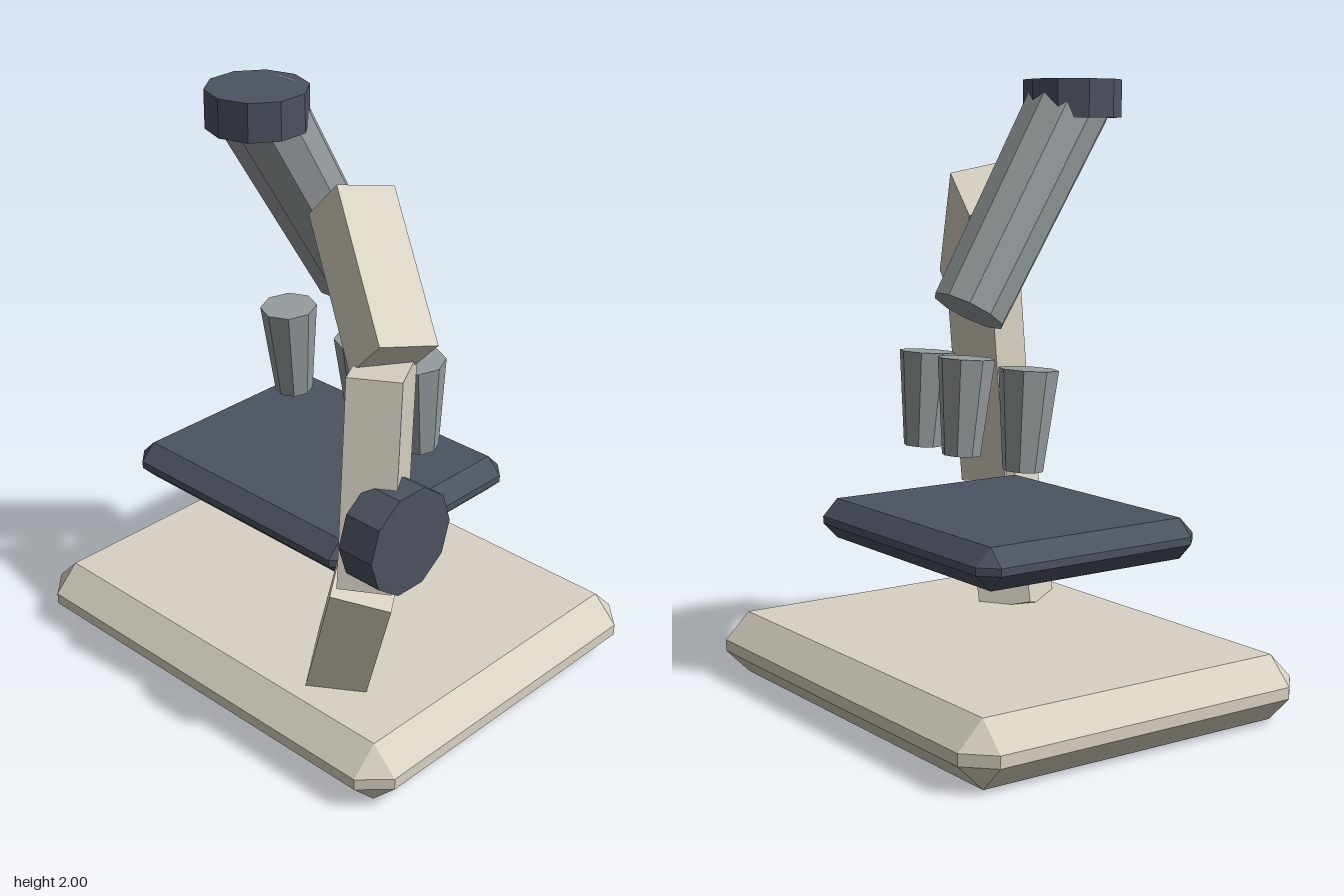
import * as THREE from 'three';
import { ConvexGeometry } from 'three/addons/geometries/ConvexGeometry.js';

const V = (x, y, z) => new THREE.Vector3(x, y, z);

function material(name, color) {
  const m = new THREE.MeshStandardMaterial({ color, flatShading: true });
  m.name = name;
  return m;
}

// Box whose edges and corners are cut by a single flat bevel
function bevelledSlab(w, h, d, r) {
  const points = [];
  for (const sx of [-1, 1]) for (const sy of [-1, 1]) for (const sz of [-1, 1]) {
    const x = w / 2, y = h / 2, z = d / 2;
    points.push(
      V(sx * x, sy * (y - r), sz * (z - r)),
      V(sx * (x - r), sy * y, sz * (z - r)),
      V(sx * (x - r), sy * (y - r), sz * z));
  }
  return new ConvexGeometry(points);
}

export function createModel() {
  const group = new THREE.Group();
  group.name = 'microscope';
  const cream = material('cream', 0xd8d2c2);
  const slate = material('slate', 0x4c5260);
  const metal = material('metal', 0x979d9f);

  const add = (name, geometry, mat, position) => {
    const mesh = new THREE.Mesh(geometry, mat);
    mesh.name = name;
    mesh.position.copy(position);
    group.add(mesh);
    return mesh;
  };

  // Square beam between two points; "side" fixes its twist
  const beam = (name, from, to, side, width, depth) => {
    const y = to.clone().sub(from);
    const length = y.length();
    y.normalize();
    const x = side.clone().addScaledVector(y, -side.dot(y)).normalize();
    const z = x.clone().cross(y);
    const mesh = add(name, new THREE.BoxGeometry(width, length, depth), cream,
      from.clone().add(to).multiplyScalar(0.5));
    mesh.quaternion.setFromRotationMatrix(new THREE.Matrix4().makeBasis(x, y, z));
  };

  // Tapered round part between two points
  const taper = (name, from, to, rBottom, rTop, sides, start = 0) => {
    const axis = to.clone().sub(from);
    const mesh = add(name,
      new THREE.CylinderGeometry(rTop, rBottom, axis.length(), sides, 1, false, start),
      metal, from.clone().add(to).multiplyScalar(0.5));
    mesh.quaternion.setFromUnitVectors(V(0, 1, 0), axis.normalize());
  };

  // Foot and stage
  add('base', bevelledSlab(1.58, 0.21, 1.27, 0.086), cream, V(0, 0.105, 0));
  add('stage', bevelledSlab(0.98, 0.13, 0.82, 0.053), slate, V(-0.11, 0.585, -0.055));

  // Three-part bent arm
  beam('lowerArm', V(0.346, 0.173, 0.327), V(0.503, 0.638, 0.368), V(0.146, -0.043, -0.11), 0.188, 0.253);
  beam('middleArm', V(0.511, 0.635, 0.357), V(0.461, 1.287, 0.268), V(0.84, 0, -0.54), 0.165, 0.267);
  beam('upperArm', V(0.485, 1.307, 0.245), V(0.14, 1.653, 0.061), V(-0.06, 0.04, 0.188), 0.2, 0.185);

  // Focus knob
  const knob = add('focusKnob', new THREE.CylinderGeometry(0.171, 0.171, 0.13, 10), slate, V(0.605, 0.82, 0.362));
  knob.rotation.z = Math.PI / 2;

  // Viewing tube and eyepiece
  taper('viewingTube', V(-0.08, 1.281, -0.17), V(-0.08, 1.932, 0.225), 0.12, 0.136, 10, Math.PI / 2);
  add('eyepiece', new THREE.CylinderGeometry(0.157, 0.157, 0.12, 10), slate, V(-0.08, 1.937, 0.232));

  // Objective lenses
  for (const x of [-0.283, 0.055, 0.284]) {
    taper('objective', V(x, 0.802, -0.108), V(x, 1.115, -0.086), 0.063, 0.094, 8);
  }

  return group;
}
